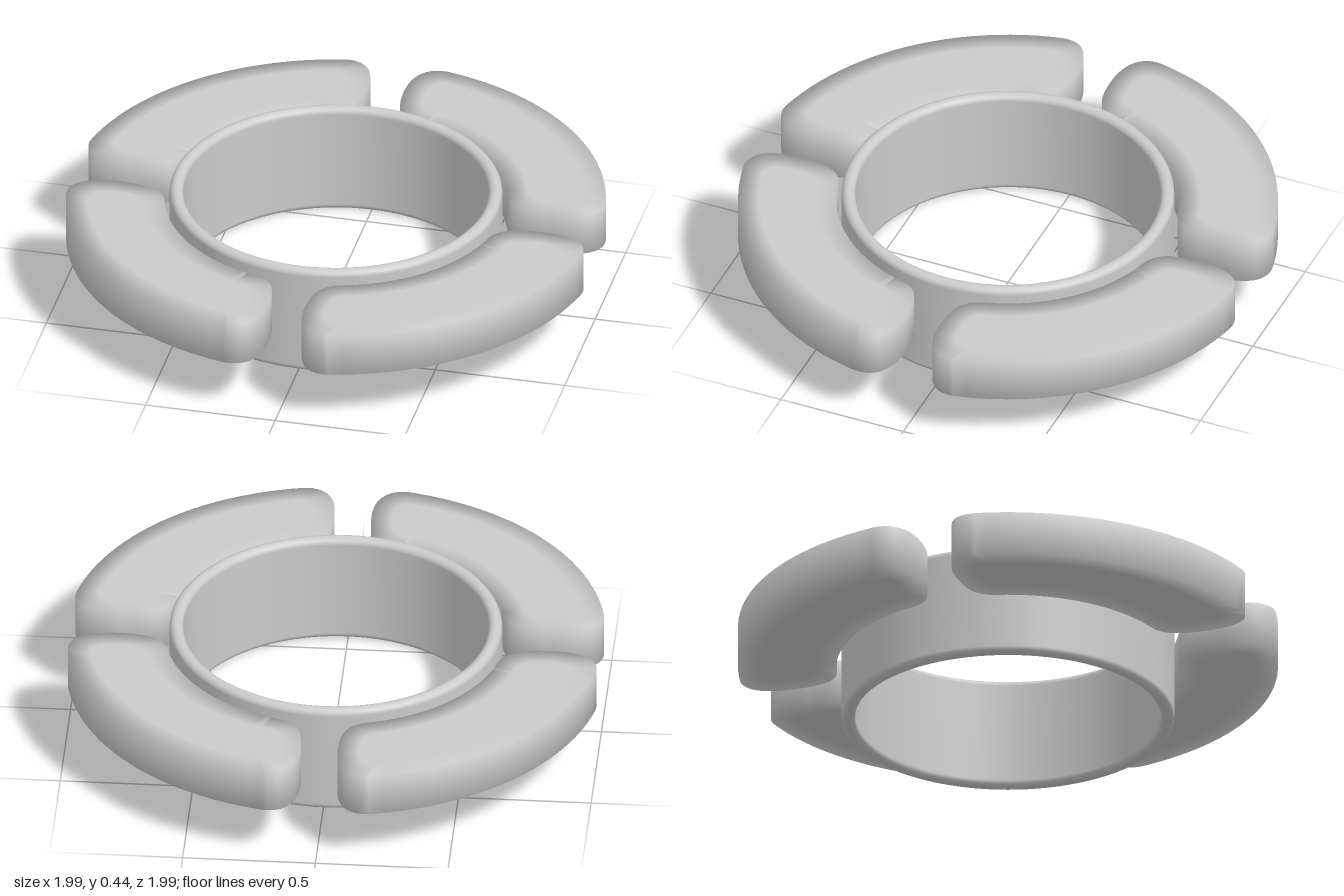
import * as THREE from 'three';

const material = new THREE.MeshStandardMaterial({ color: 0xcccccc });

// Quarter-ring outline with soft corners, shrunk evenly by inset
function padOutline(inset) {
  const R = 1.014 - inset, r = 0.645 + inset, gap = 0.07 + inset;
  const corner = 0.13 * (1 - inset / 0.18);
  const z = gap + corner, mid = (R + r) / 2 - 0.015;
  const xo = Math.sqrt(R * R - z * z), xi = Math.sqrt(r * r - z * z);
  const ao = Math.asin(z / R), ai = Math.asin(z / r);
  const s = new THREE.Shape();
  s.absarc(0, 0, R, ao, Math.PI / 2 - ao, false);
  s.bezierCurveTo(gap + corner * 0.4, xo + corner * 0.08, gap, xo - corner * 0.35, gap, mid);
  s.bezierCurveTo(gap, xi + corner * 0.35, gap + corner * 0.35, xi + corner * 0.15, z, xi);
  s.absarc(0, 0, r, Math.PI / 2 - ai, ai, true);
  s.bezierCurveTo(xi + corner * 0.15, gap + corner * 0.35, xi + corner * 0.35, gap, mid, gap);
  s.bezierCurveTo(xo - corner * 0.35, gap, xo + corner * 0.08, gap + corner * 0.4, xo, z);
  return s.getPoints(12).slice(0, -1);
}

// Pad skin: inner top loop, top rim, bottom rim, inner bottom loop, shared smooth normals
function padGeometry(bottom, top) {
  const rim = padOutline(0), inner = padOutline(0.08), n = rim.length;
  const positions = [], index = [];
  for (const [loop, y] of [[inner, top], [rim, top], [rim, bottom], [inner, bottom]]) {
    for (const p of loop) positions.push(p.x, y, -p.y);
  }
  for (let k = 0; k < 3; k++) {
    for (let i = 0; i < n; i++) {
      const j = (i + 1) % n;
      const a = k * n + i, b = k * n + j, c = a + n, d = b + n;
      index.push(a, c, b, b, c, d);
    }
  }
  for (const [a, b, c] of THREE.ShapeUtils.triangulateShape(inner, [])) {
    index.push(a, b, c, 3 * n + c, 3 * n + b, 3 * n + a);
  }
  const g = new THREE.BufferGeometry();
  g.setAttribute('position', new THREE.Float32BufferAttribute(positions, 3));
  g.setIndex(index);
  g.computeVertexNormals();
  return g;
}

// Closed wall profile of the ring with rounded edges
function ringGeometry(rIn, rOut, height, round) {
  const pts = [new THREE.Vector2(rOut, height / 2)];
  const corners = [
    [rOut - round, height - round, 0],
    [rIn + round, height - round, 1],
    [rIn + round, round, 2],
    [rOut - round, round, 3],
  ];
  for (const [x, y, q] of corners) {
    for (let i = 0; i <= 5; i++) {
      const a = (q + i / 5) * Math.PI / 2;
      pts.push(new THREE.Vector2(x + round * Math.cos(a), y + round * Math.sin(a)));
    }
  }
  pts.push(pts[0].clone());
  return new THREE.LatheGeometry(pts, 96);
}

export function createModel() {
  const model = new THREE.Group();
  model.name = 'ringWithPads';

  const ring = new THREE.Mesh(ringGeometry(0.573, 0.625, 0.44, 0.024), material);
  ring.name = 'ring';
  model.add(ring);

  // Four pads around the ring
  const geometry = padGeometry(0.225, 0.395);
  for (let i = 0; i < 4; i++) {
    const pad = new THREE.Mesh(geometry, material);
    pad.name = 'pad' + (i + 1);
    pad.rotation.y = i * Math.PI / 2;
    model.add(pad);
  }
  return model;
}
